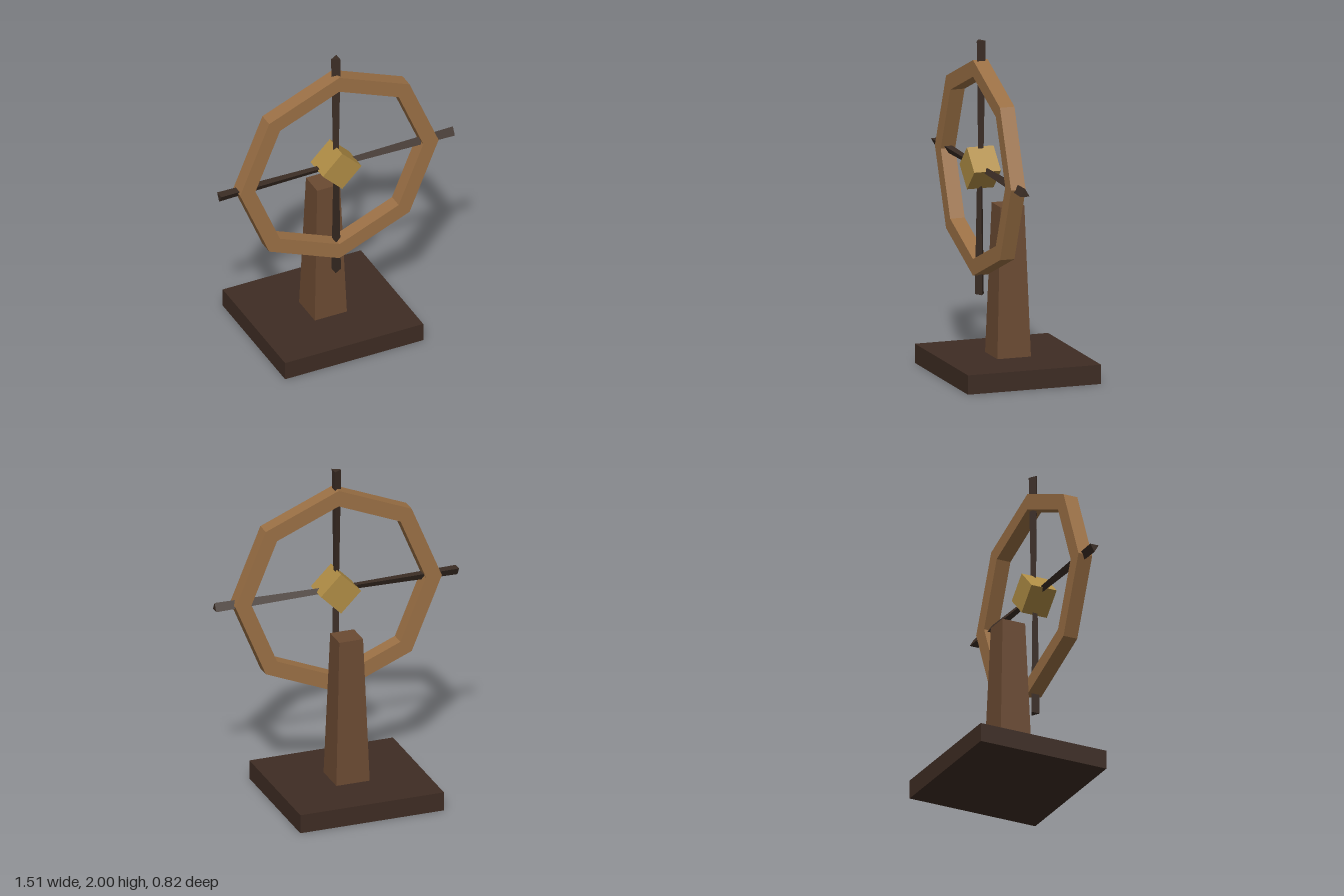
import * as THREE from 'three';

const flat = (name, color) => {
  const m = new THREE.MeshStandardMaterial({ color });
  m.name = name;
  return m;
};

export function createModel() {
  const model = new THREE.Group();
  const darkWood = flat('darkWood', 0x3e2c23);
  const postWood = flat('postWood', 0x6b4a32);
  const rimWood = flat('rimWood', 0x9b7045);
  const brass = flat('brass', 0xb08d45);
  const spokeWood = flat('spokeWood', 0x3b2d25);

  const add = (parent, name, geometry, material) => {
    // split vertices so every side is faceted
    const g = geometry.index ? geometry.toNonIndexed() : geometry;
    g.computeVertexNormals();
    const mesh = new THREE.Mesh(g, material);
    mesh.name = name;
    parent.add(mesh);
    return mesh;
  };

  // Plinth
  add(model, 'base', new THREE.BoxGeometry(0.895, 0.115, 0.825), darkWood).position.y = 0.0575;

  // Tapered square post
  const post = new THREE.CylinderGeometry(0.074 * Math.SQRT2, 0.104 * Math.SQRT2, 0.897, 4);
  post.rotateY(Math.PI / 4);
  add(model, 'post', post, postWood).position.y = 0.5635;

  // Wheel, standing in front of the post
  const wheel = new THREE.Group();
  wheel.name = 'wheel';
  wheel.position.set(0, 1.243, 0.172);
  model.add(wheel);

  // Eight-sided rim
  const octagon = (r) => Array.from({ length: 8 }, (_, i) =>
    new THREE.Vector2(r * Math.cos(i * Math.PI / 4), r * Math.sin(i * Math.PI / 4)));
  const rimShape = new THREE.Shape(octagon(0.643));
  rimShape.holes.push(new THREE.Path(octagon(0.544).reverse()));
  const rim = new THREE.ExtrudeGeometry(rimShape, { depth: 0.09, bevelEnabled: false });
  rim.translate(0, 0, -0.045);
  add(wheel, 'rim', rim, rimWood);

  // Four-sided hub
  const hub = new THREE.CylinderGeometry(0.125, 0.125, 0.165, 4);
  hub.rotateX(Math.PI / 2);
  add(wheel, 'hub', hub, brass);

  // Four flaring three-sided spokes that pass through the rim
  for (let i = 0; i < 4; i++) {
    const spoke = new THREE.CylinderGeometry(0.032, 0.018, 0.757, 3);
    spoke.rotateY(-Math.PI / 2);
    spoke.translate(0, 0.757 / 2, 0);
    add(wheel, 'spoke', spoke, spokeWood).rotation.z = -i * Math.PI / 2;
  }

  return model;
}
